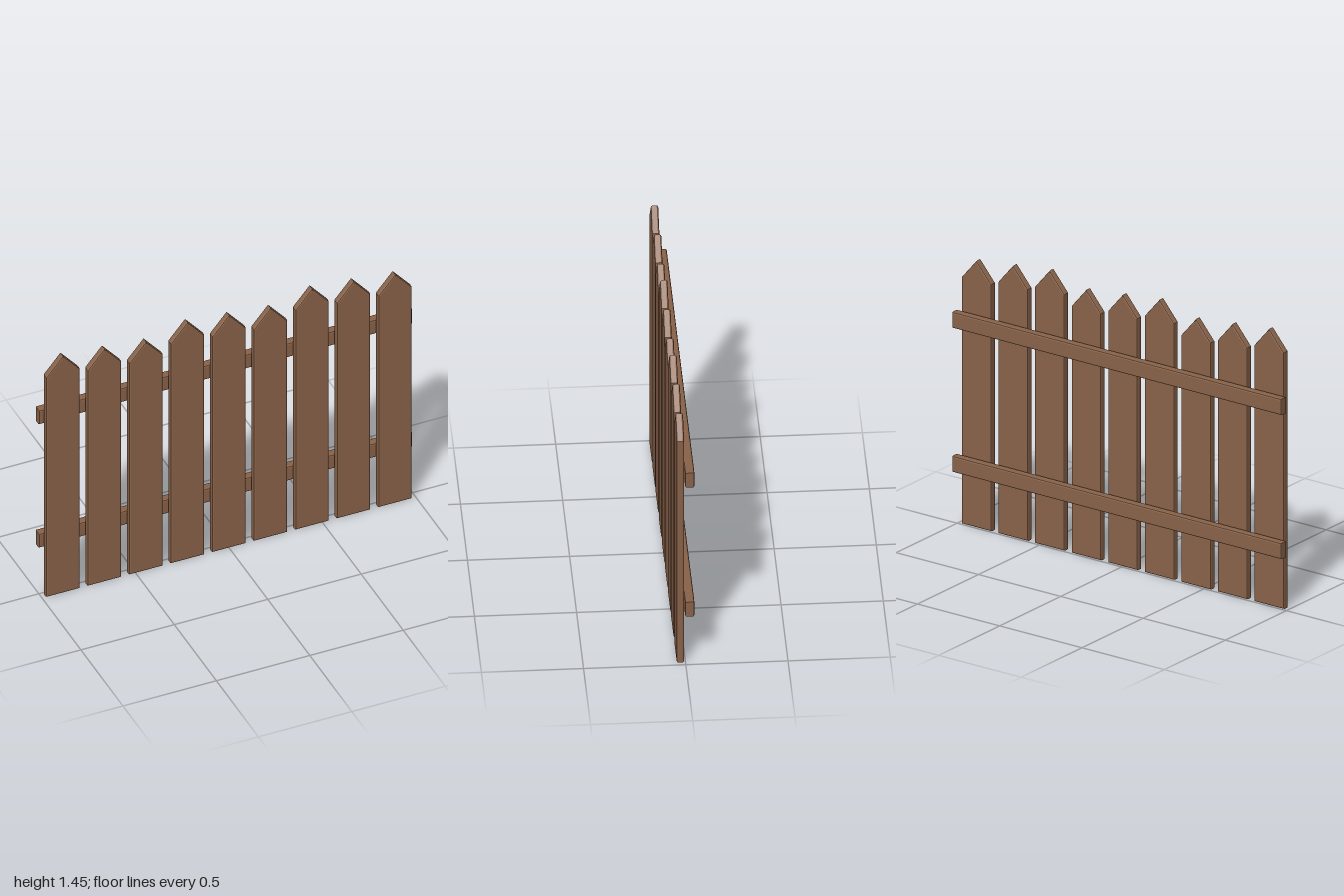
import * as THREE from 'three';

const BEVEL = 0.008;

// Board cut from an outline (already inset by the bevel), spanning zBack..zFront
function board(points, zBack, zFront, material, name) {
  const shape = new THREE.Shape(points.map(([x, y]) => new THREE.Vector2(x, y)));
  const geometry = new THREE.ExtrudeGeometry(shape, {
    depth: zFront - zBack - 2 * BEVEL,
    bevelEnabled: true,
    bevelThickness: BEVEL,
    bevelSize: BEVEL,
    bevelOffset: -BEVEL,
    bevelSegments: 2,
  });
  geometry.translate(0, 0, zBack + BEVEL);
  const mesh = new THREE.Mesh(geometry, material);
  mesh.name = name;
  return mesh;
}

export function createModel() {
  const fence = new THREE.Group();
  fence.name = 'picketFence';
  const wood = new THREE.MeshStandardMaterial({ color: 0x8a6349 });
  wood.name = 'brown wood';

  // Nine pointed pickets in a repeating three-step height pattern
  const peaks = [1.445, 1.42, 1.395];
  const half = 0.09;
  for (let i = 0; i < 9; i++) {
    const peak = peaks[i % 3];
    const shoulder = peak - 0.105;
    const picket = board(
      [[-half, 0], [half, 0], [half, shoulder], [0, peak], [-half, shoulder]],
      0.006, 0.043, wood, `picket${i + 1}`);
    picket.position.x = (i - 4) * 0.2222;
    fence.add(picket);
  }

  // Two horizontal rails behind the pickets
  for (const [name, y] of [['lowerRail', 0.322], ['upperRail', 1.075]]) {
    const rail = board(
      [[-1, -0.042], [1, -0.042], [1, 0.042], [-1, 0.042]],
      -0.043, 0.003, wood, name);
    rail.position.y = y;
    fence.add(rail);
  }
  return fence;
}
